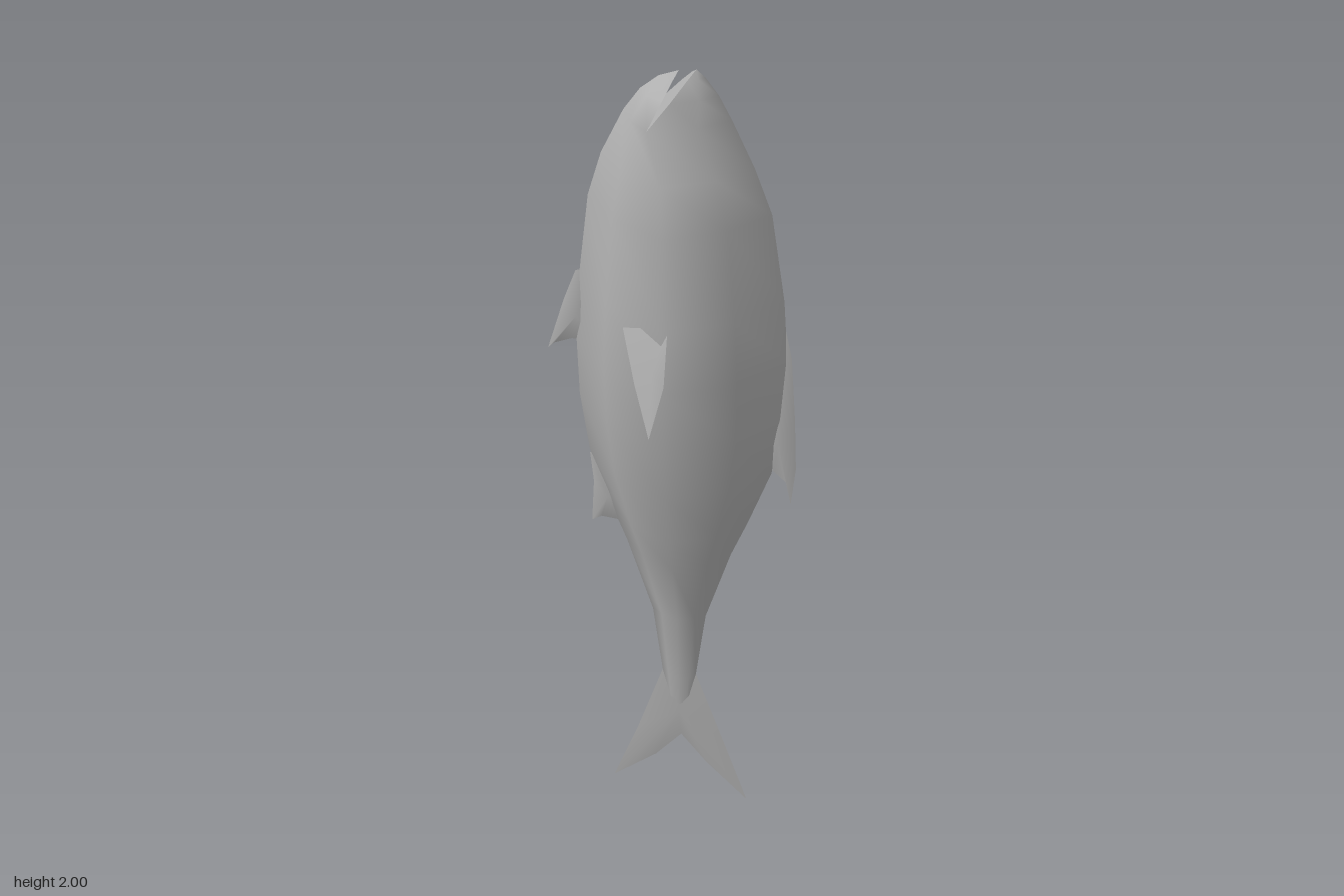
import * as THREE from 'three';

const skin = new THREE.MeshStandardMaterial({ color: 0xb0b0b0, side: THREE.DoubleSide });
skin.name = 'grey skin';

// Unit cross-section of the body: a softly bulged diamond, from +x round through +z
const SECTION = [[1, 0], [0.62, 0.57], [0, 1], [-0.62, 0.57], [-1, 0], [-0.62, -0.57], [0, -1], [0.62, -0.57]];

function makeMesh(name, positions, index) {
  const g = new THREE.BufferGeometry();
  g.setAttribute('position', new THREE.Float32BufferAttribute(positions, 3));
  g.setIndex(index);
  g.computeVertexNormals();
  const mesh = new THREE.Mesh(g, skin);
  mesh.name = name;
  return mesh;
}

function createBody() {
  const pos = [], index = [];
  const vertex = (x, y, z) => pos.push(x, y, z) / 3 - 1;
  // Points of one cross-section: belly x, back x, x of the widest line, half thickness
  const ring = (ids, y, belly, back, mid, half) => ids.map((i) => {
    const [u, v] = SECTION[i];
    return vertex(mid + (u > 0 ? u * (back - mid) : u * (mid - belly)), y, v * half);
  });
  const strip = (top, bottom) => {
    for (let i = 0; i + 1 < top.length; i++) {
      index.push(top[i], top[i + 1], bottom[i], top[i + 1], bottom[i + 1], bottom[i]);
    }
  };

  // Trunk, from the corner of the mouth down into the tail
  const all = [0, 1, 2, 3, 4, 5, 6, 7];
  const rings = [
    [1.9, -0.102, 0.117, -0.035, 0.085],
    [1.8, -0.15, 0.165, 0, 0.122],
    [1.7, -0.18, 0.203, 0.01, 0.148],
    [1.5, -0.205, 0.235, 0.015, 0.18],
    [1.35, -0.215, 0.247, 0.015, 0.183],
    [1.2, -0.212, 0.247, 0.015, 0.172],
    [1.05, -0.193, 0.222, 0.015, 0.147],
    [0.9, -0.147, 0.172, 0.015, 0.112],
    [0.8, -0.11, 0.135, 0.015, 0.083],
    [0.6, -0.05, 0.078, 0.015, 0.027],
    [0.4, -0.026, 0.055, 0.015, 0.014],
    [0.25, -0.01, 0.04, 0.015, 0.004],
  ].map((r) => ring(all, ...r));
  for (let r = 0; r + 1 < rings.length; r++) {
    strip([...rings[r], rings[r][0]], [...rings[r + 1], rings[r + 1][0]]);
  }

  // Jaws: each continues half of the first ring to a tip, with a flat inner face
  const jaw = (ids, sections, tip) => {
    const rows = [ids.map((i) => rings[0][i]), ...sections.map((s) => ring(ids, ...s))];
    rows.push(ids.map(() => tip));
    for (let r = 0; r + 1 < rows.length; r++) strip(rows[r + 1], rows[r]);
    const inner = rows.map((row) => [row[row.length - 1], row[0]].map(
      (i) => vertex(pos[i * 3], pos[i * 3 + 1], pos[i * 3 + 2])));
    for (let r = 0; r + 1 < inner.length; r++) strip(inner[r + 1], inner[r]);
  };
  jaw([6, 7, 0, 1, 2], [
    [1.95, 0.005, 0.09, 0.005, 0.054],
    [1.985, 0.032, 0.063, 0.032, 0.02],
  ], vertex(0.045, 2, 0));
  jaw([2, 3, 4, 5, 6], [
    [1.95, -0.067, -0.012, -0.012, 0.05],
    [1.98, -0.03, 0.002, 0.002, 0.02],
  ], vertex(0.01, 1.995, 0));

  return makeMesh('body', pos, index);
}

// Thin fin with sharp edges: a fan on each side, raised at the centre along z
function createFin(name, outline, center, thickness) {
  const pos = [], index = [], n = outline.length;
  for (const side of [1, -1]) {
    const c = pos.length / 3;
    pos.push(center[0], center[1], (center[2] || 0) + side * thickness);
    for (const [x, y, z = 0] of outline) pos.push(x, y, z);
    for (let i = 0; i < n; i++) {
      const a = c + 1 + i, b = c + 1 + (i + 1) % n;
      if (side > 0) index.push(c, a, b);
      else index.push(c, b, a);
    }
  }
  return makeMesh(name, pos, index);
}

export function createModel() {
  const fish = new THREE.Group();
  fish.name = 'fish';
  fish.add(createBody());

  // Forked tail
  fish.add(createFin('tailFin', [
    [0.055, 0.41], [-0.026, 0.41], [-0.09, 0.2], [-0.155, 0.012], [-0.045, 0.11],
    [0.02, 0.195], [0.085, 0.11], [0.19, 0], [0.125, 0.2],
  ], [0.017, 0.28], 0.009));

  // Long low fin along the back, ending in a spike
  fish.add(createFin('dorsalFin', [
    [0.225, 1.5], [0.2, 1.3], [0.19, 1.08], [0.228, 1.055], [0.255, 1.03],
    [0.268, 0.97], [0.276, 1.07], [0.269, 1.2], [0.256, 1.36],
  ], [0.235, 1.15], 0.014));

  // Two small fins under the belly
  fish.add(createFin('pelvicFin', [
    [-0.17, 1.53], [-0.212, 1.515], [-0.24, 1.44], [-0.28, 1.31], [-0.265, 1.325],
    [-0.225, 1.342], [-0.17, 1.34],
  ], [-0.21, 1.41], 0.016));
  fish.add(createFin('analFin', [
    [-0.14, 1.06], [-0.193, 1.04], [-0.186, 0.96], [-0.193, 0.845], [-0.17, 0.86],
    [-0.128, 0.857], [-0.1, 0.92],
  ], [-0.15, 0.93], 0.016));

  // Pectoral fins, mirrored on both flanks and flaring away from the body
  for (const side of [1, -1]) {
    const outline = [
      [-0.075, 1.48, 0.14], [-0.04, 1.375, 0.188], [0, 1.273, 0.233],
      [0.026, 1.39, 0.207], [0.026, 1.51, 0.17],
    ].map(([x, y, z]) => [x, y, z * side]);
    const name = side > 0 ? 'pectoralFinFront' : 'pectoralFinBack';
    fish.add(createFin(name, outline, [0, 1.42, 0.19 * side], 0.006));
  }
  return fish;
}
